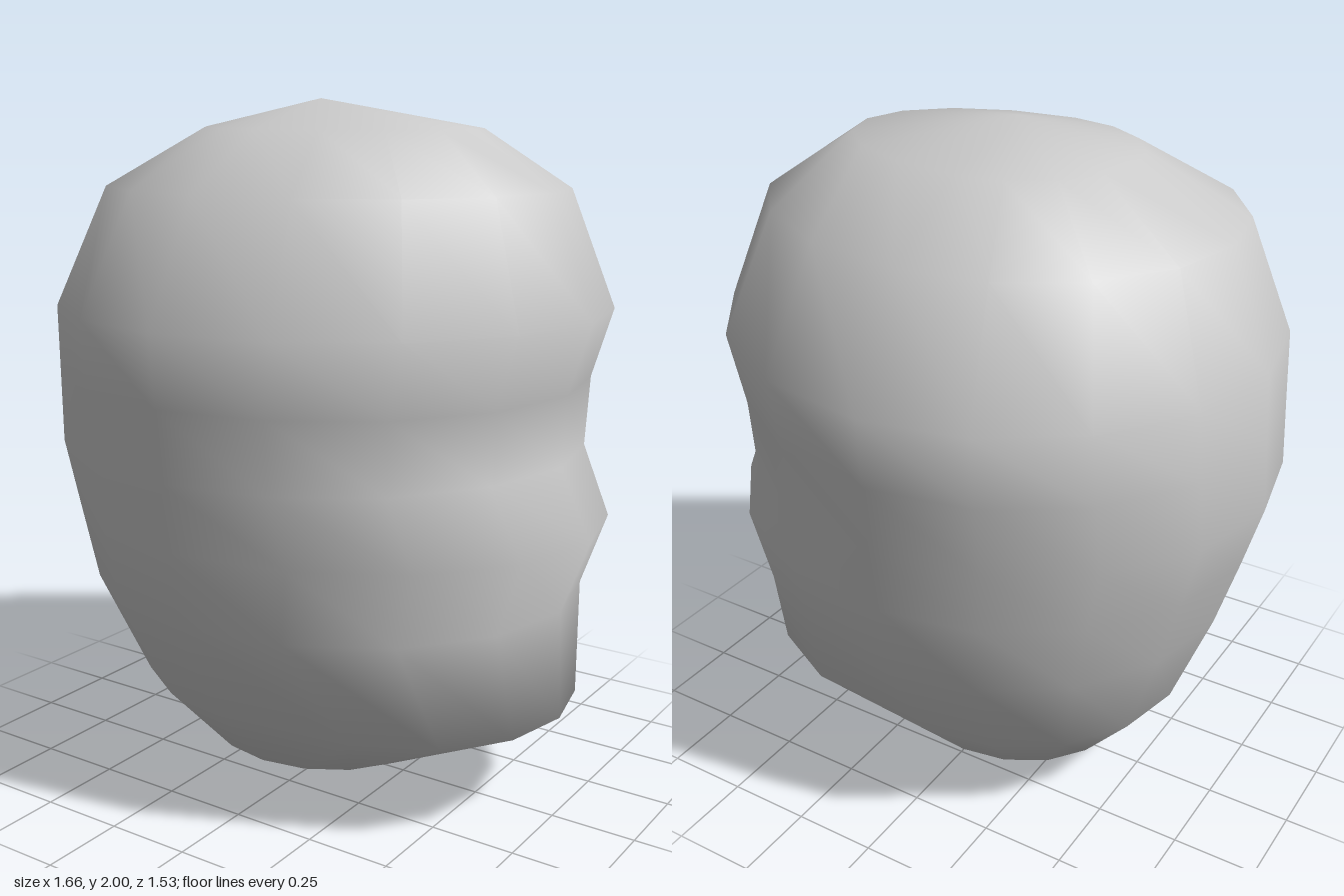
import * as THREE from 'three';

const SEGMENTS = 16;
const CENTRE = -0.05; // x of the crown and base points

// Rings from crown to base: height, back x, face x, half width, squareness of the face
const RINGS = [
  [1.92, -0.40, 0.45, 0.315, 1],
  [1.76, -0.69, 0.69, 0.585, 1],
  [1.43, -0.81, 0.81, 0.765, 1],     // brow
  [1.23, -0.822, 0.745, 0.75, 1],    // eye hollow
  [1.03, -0.835, 0.735, 0.735, 1],
  [0.835, -0.78, 0.83, 0.71, 1],     // nose and cheeks
  [0.62, -0.715, 0.75, 0.685, 1],    // mouth
  [0.305, -0.595, 0.76, 0.52, 0.7],  // chin
  [0.08, -0.405, 0.305, 0.315, 1],
];

function headGeometry() {
  const positions = [CENTRE, 2, 0];
  for (const [y, back, face, width, power] of RINGS) {
    for (let i = 0; i < SEGMENTS; i++) {
      const a = (i / SEGMENTS) * Math.PI * 2;
      const c = Math.cos(a);
      const x = c > 0
        ? CENTRE + (face - CENTRE) * Math.pow(c, power)
        : CENTRE + (CENTRE - back) * c;
      positions.push(x, y, width * Math.sin(a));
    }
  }
  positions.push(CENTRE, 0, 0);

  const index = [];
  const at = (ring, i) => 1 + ring * SEGMENTS + (i % SEGMENTS);
  const last = RINGS.length - 1;
  const base = positions.length / 3 - 1;
  for (let i = 0; i < SEGMENTS; i++) {
    index.push(0, at(0, i + 1), at(0, i));
    for (let r = 0; r < last; r++) {
      const a = at(r, i), b = at(r, i + 1), c = at(r + 1, i), d = at(r + 1, i + 1);
      index.push(a, b, c, b, d, c);
    }
    index.push(base, at(last, i), at(last, i + 1));
  }

  const geometry = new THREE.BufferGeometry();
  geometry.setAttribute('position', new THREE.Float32BufferAttribute(positions, 3));
  geometry.setIndex(index);
  geometry.computeVertexNormals();
  return geometry;
}

export function createModel() {
  const group = new THREE.Group();
  const head = new THREE.Mesh(headGeometry(), new THREE.MeshStandardMaterial({ color: 0xcccccc }));
  head.name = 'head';
  group.add(head);
  return group;
}
